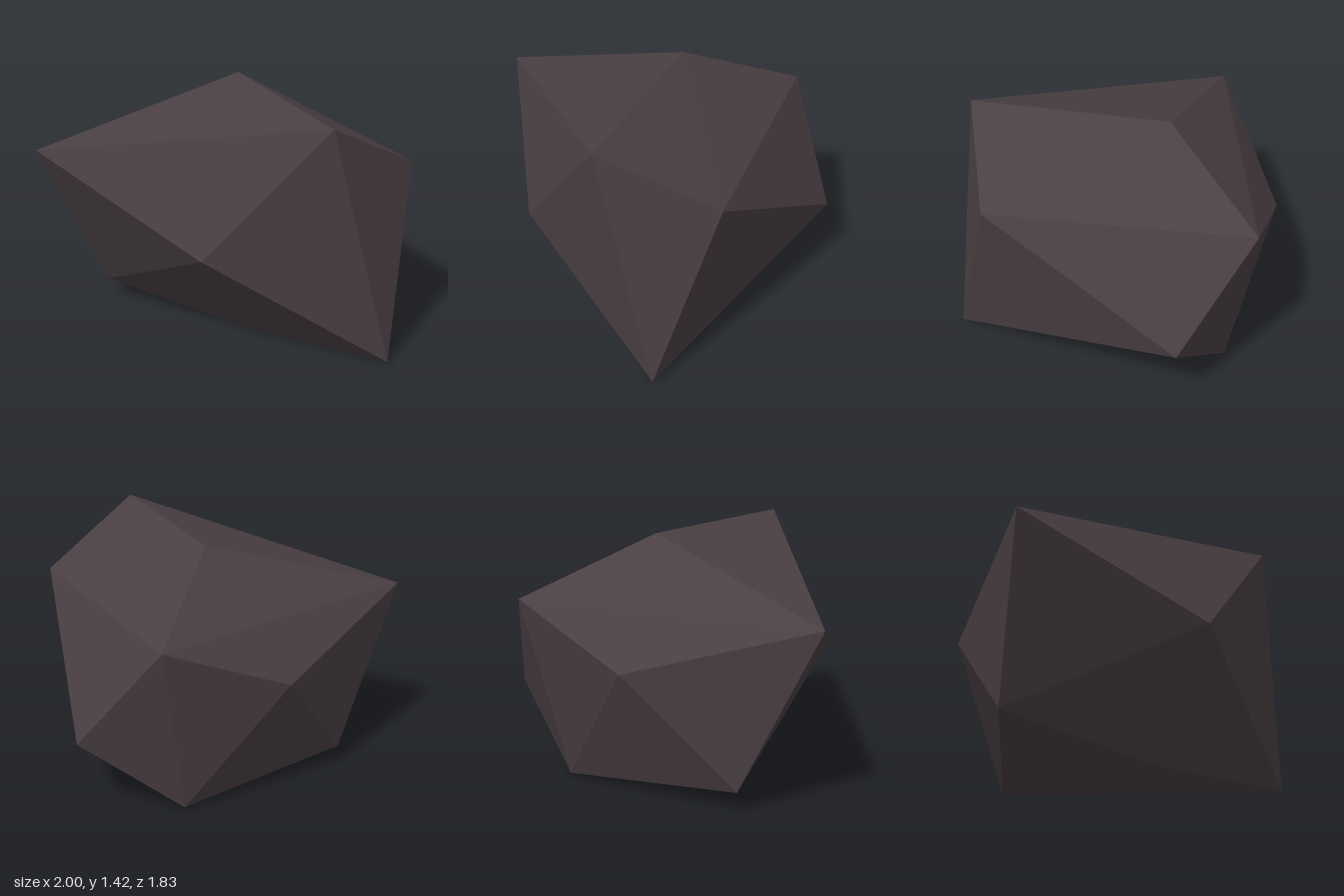
import * as THREE from 'three';
import { ConvexGeometry } from 'three/addons/geometries/ConvexGeometry.js';

export function createModel() {
  const group = new THREE.Group();
  group.name = 'rock';

  const stone = new THREE.MeshStandardMaterial({ color: 0x4a3f43, flatShading: true });
  stone.name = 'darkStone';

  // Corners of the faceted boulder, from the crown down to the base
  const corners = [
    [-0.22, 1.42, -0.07], [0.77, 1.41, 0.59],                        // crown
    [-1.0, 1.07, 0.87], [0.92, 1.07, -0.07], [-0.43, 1.07, -0.83],   // shoulders
    [-0.87, 0.77, -0.21], [0.15, 0.65, 0.91], [0.08, 0.44, -0.92],   // waist
    [-0.87, 0.12, 0.43], [-0.4, 0.02, -0.56],                        // foot
    [0.15, 0, 0.36], [1.0, 0.01, 0.33],
  ].map((p) => new THREE.Vector3(...p));

  // Flat facets stretched over the corners
  const boulder = new THREE.Mesh(new ConvexGeometry(corners), stone);
  boulder.name = 'boulder';
  group.add(boulder);

  return group;
}
